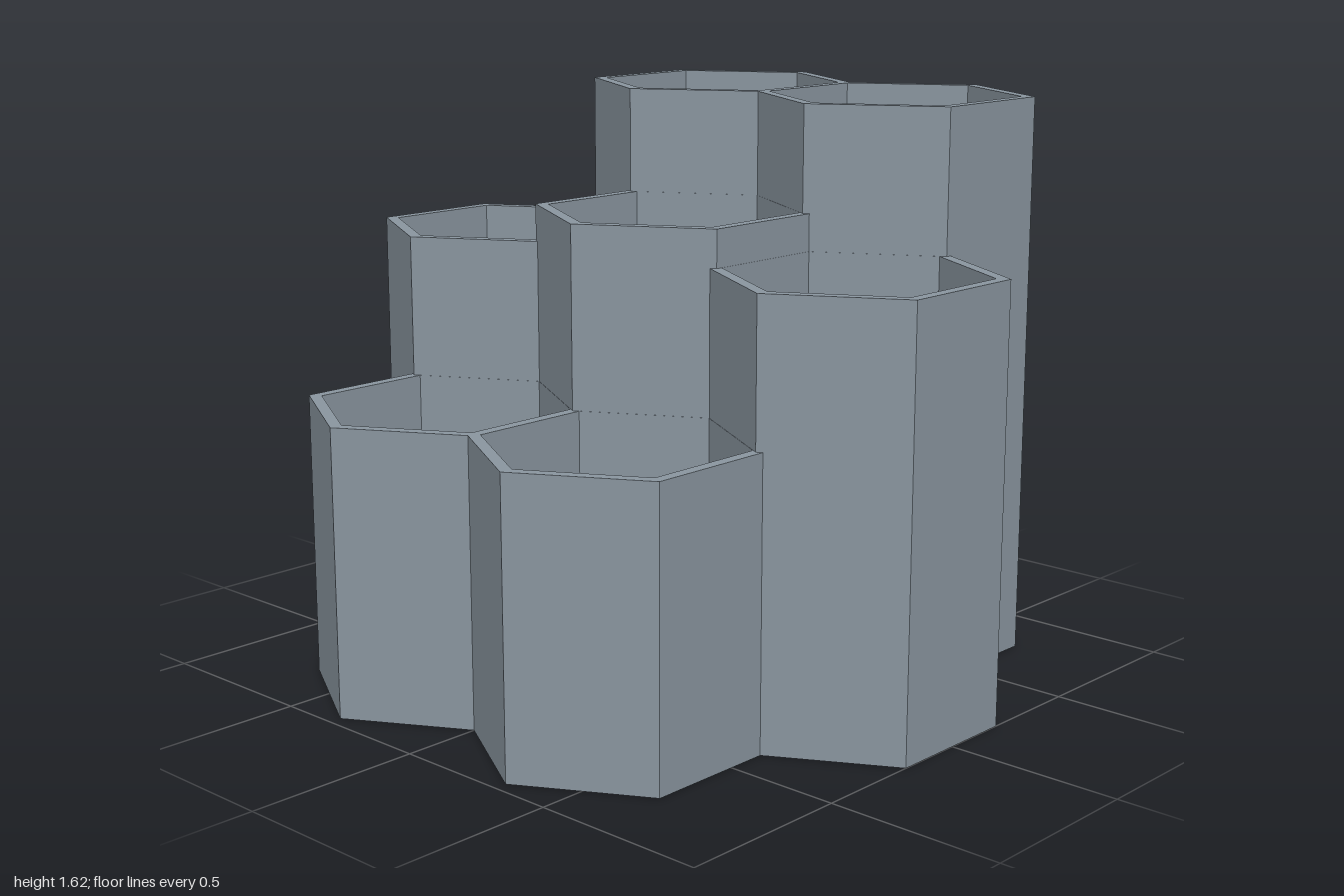
import * as THREE from 'three';

const PITCH = 0.656;                        // distance between neighbouring cups
const ROW = PITCH * Math.sqrt(3) / 2;       // distance between rows
const OUTER = 0.344 / Math.cos(Math.PI / 6); // corner radius outside
const INNER = 0.311 / Math.cos(Math.PI / 6); // corner radius inside
const FLOOR = 0.03;

// Open hexagonal cup with a wall, rim and floor, corners pointing along z
function hexCup(height) {
  const profile = [
    [0, 0], [OUTER, 0], [OUTER, height],
    [INNER, height], [INNER, FLOOR], [0, FLOOR],
  ].map(([r, y]) => new THREE.Vector2(r, y));
  const geometry = new THREE.LatheGeometry(profile, 6).toNonIndexed();
  geometry.computeVertexNormals(); // crisp facets
  return geometry;
}

export function createModel() {
  const group = new THREE.Group();
  group.name = 'hexagonOrganizer';
  const slate = new THREE.MeshStandardMaterial({ color: 0x8a96a0 });
  slate.name = 'slate grey';

  const addCup = (name, x, z, height) => {
    const cup = new THREE.Mesh(hexCup(height), slate);
    cup.name = name;
    cup.position.set(x, 0, z);
    group.add(cup);
  };

  // Middle cup, then mirrored pairs stepping up towards the back
  addCup('centreCup', 0, 0, 1.32);
  for (const [side, s] of [['left', 1], ['right', -1]]) {
    addCup(side + 'FrontCup', s * PITCH / 2, ROW, 0.81);
    addCup(side + 'SideCup', s * PITCH, 0, 1.215);
    addCup(side + 'BackCup', s * PITCH / 2, -ROW, 1.62);
  }
  return group;
}
